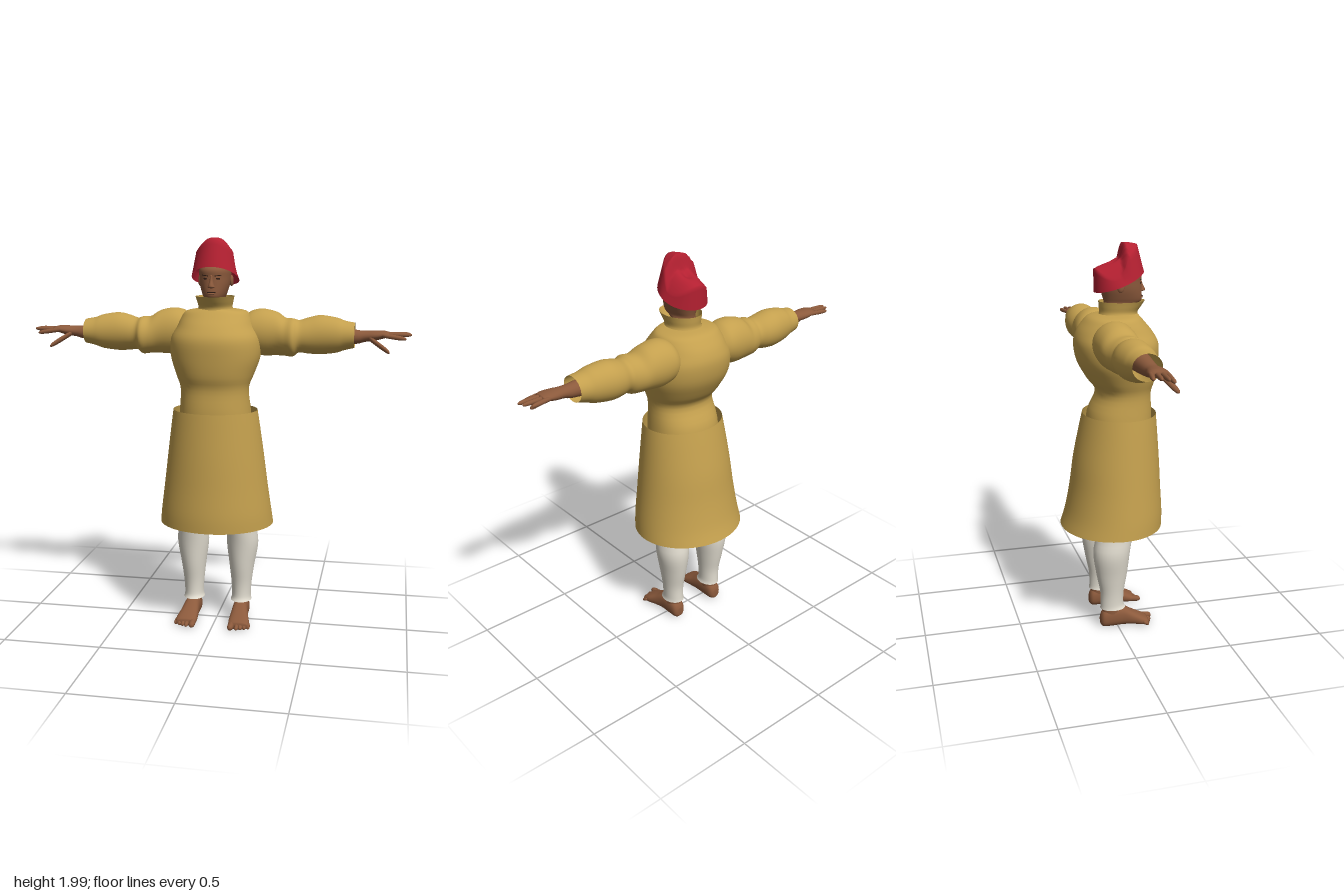
import * as THREE from 'three';

const mat = (name, color, double = false) => {
  const m = new THREE.MeshStandardMaterial({ color });
  m.name = name;
  if (double) m.side = THREE.DoubleSide;
  return m;
};

// Smooth surface through oval sections: rows of [t, uMin, uMax, vMin, vMax].
// axis y: u = x, v = z; axis x: u = y, v = z; axis z: u = x, v = y.
function loft(rows, axis = 'y', { n = 32, sub = 4, power = 2, caps = false } = {}) {
  const curves = [1, 2, 3, 4].map(k => new THREE.SplineCurve(rows.map(r => new THREE.Vector2(r[0], r[k]))));
  const steps = (rows.length - 1) * sub;
  const pos = [], idx = [];
  const put = (t, u, v) => pos.push(...(axis === 'y' ? [u, t, v] : axis === 'x' ? [t, u, v] : [u, v, t]));
  const tri = (a, b, c) => (axis === 'y' ? idx.push(a, c, b) : idx.push(a, b, c));
  const bend = s => Math.sign(s) * Math.pow(Math.abs(s), 2 / power);
  const mids = [];
  for (let i = 0; i <= steps; i++) {
    const p = curves.map(c => c.getPoint(i / steps));
    const [a, b, c, d] = p.map(q => q.y);
    mids.push([p[0].x, (a + b) / 2, (c + d) / 2]);
    for (let j = 0; j < n; j++) {
      const g = (j / n) * Math.PI * 2;
      put(p[0].x, (a + b) / 2 + bend(Math.cos(g)) * (b - a) / 2, (c + d) / 2 + bend(Math.sin(g)) * (d - c) / 2);
    }
  }
  for (let i = 0; i < steps; i++) for (let j = 0; j < n; j++) {
    const k = (j + 1) % n, a = i * n + j, b = i * n + k;
    tri(a, b, b + n);
    tri(a, b + n, a + n);
  }
  if (caps) {
    const e = (steps + 1) * n, last = steps * n;
    put(...mids[0]);
    put(...mids[steps]);
    for (let j = 0; j < n; j++) {
      const k = (j + 1) % n;
      tri(e, k, j);
      tri(e + 1, last + j, last + k);
    }
  }
  return build(pos, idx);
}

function build(pos, idx) {
  const g = new THREE.BufferGeometry();
  g.setAttribute('position', new THREE.Float32BufferAttribute(pos, 3));
  g.setIndex(idx);
  g.computeVertexNormals();
  return g;
}

// Mirror across x = 0, turning the faces so they still point outwards
function mirrored(geo) {
  const g = geo.clone().scale(-1, 1, 1), a = g.index.array;
  for (let i = 0; i < a.length; i += 3) [a[i + 1], a[i + 2]] = [a[i + 2], a[i + 1]];
  return g;
}

// Rounded digit running along an axis from p to q ([t, u, v])
function digit(p, q, r, axis) {
  const rows = [[0, 0.9], [0.5, 1], [0.85, 0.85], [0.97, 0.5], [1, 0.15]].map(([s, k]) => {
    const [t, u, v] = p.map((a, i) => a + (q[i] - a) * s);
    return [t, u - r * k, u + r * k, v - r * k, v + r * k];
  });
  return loft(rows, axis, { n: 10, sub: 2, caps: true });
}

// Tilted cap: short slanted wall, then a crown with a raised front peak
function hatGeometry() {
  const n = 48, wall = 6, top = 14, pos = [], idx = [];
  const crown = (x, z) => {
    const s = THREE.MathUtils.smoothstep(z, 0.042, 0.06);
    const back = 1.94 + 0.5 * (z - 0.055), front = 2 - 0.21 * (z - 0.06);
    const dent = 0.025 * Math.exp(-((x / 0.025) ** 2) - ((z - 0.015) / 0.04) ** 2);
    return back + (front - back) * s - 9 * x * x - dent;
  };
  for (let i = 0; i <= wall + top; i++) for (let j = 0; j < n; j++) {
    const g = (j / n) * Math.PI * 2, c = Math.cos(g), s = Math.sin(g);
    const rimZ = 0.04 + 0.125 * s, edgeX = 0.1 * c, edgeZ = 0.022 + 0.108 * s;
    if (i <= wall) {
      const t = i / wall, rimY = 1.795 + 0.4 * (rimZ - 0.04) + 0.01 * s * s;
      pos.push(0.118 * c + (edgeX - 0.118 * c) * t, rimY + (crown(edgeX, edgeZ) - rimY) * t, rimZ + (edgeZ - rimZ) * t);
    } else {
      const k = 1 - (i - wall) / top, x = edgeX * k, z = 0.022 + 0.108 * s * k;
      pos.push(x, crown(x, z), z);
    }
  }
  for (let i = 0; i < wall + top; i++) for (let j = 0; j < n; j++) {
    const k = (j + 1) % n, a = i * n + j, b = i * n + k;
    idx.push(a, b + n, b, a, a + n, b + n);
  }
  return build(pos, idx);
}

export function createModel() {
  const model = new THREE.Group();
  const cloth = mat('golden cloth', 0xc4a04e, true);
  const linen = mat('off-white linen', 0xe2ddd0, true);
  const skin = mat('brown skin', 0x8c5a3c);
  const red = mat('red felt', 0xb42031, true);
  const dark = mat('dark brown', 0x2e1c14);

  const add = (name, geo, material, parent = model) => {
    const m = new THREE.Mesh(geo, material);
    m.name = name;
    parent.add(m);
    return m;
  };
  const pair = (name, geo, material) => {
    add(name + 'Left', geo, material);
    add(name + 'Right', mirrored(geo), material);
  };
  const sym = rows => rows.map(([y, w, f, b]) => [y, -w, w, b, f]);

  // Tunic: body, collar and open skirt, rows of [y, half width, front, back]
  add('tunicBody', loft(sym([
    [1.0, 0.19, 0.2, -0.13], [1.14, 0.18, 0.205, -0.12], [1.25, 0.172, 0.2, -0.075], [1.32, 0.195, 0.22, -0.12],
    [1.41, 0.225, 0.232, -0.17], [1.5, 0.225, 0.235, -0.186], [1.56, 0.195, 0.205, -0.172],
    [1.605, 0.175, 0.168, -0.142], [1.635, 0.15, 0.142, -0.11], [1.648, 0.085, 0.13, -0.06],
  ]), 'y', { n: 48, power: 2.2 }), cloth);
  add('collar', loft(sym([
    [1.63, 0.1, 0.138, -0.07], [1.655, 0.085, 0.135, -0.058], [1.685, 0.09, 0.155, -0.06], [1.71, 0.096, 0.172, -0.062],
  ])), cloth);
  add('skirt', loft(sym([
    [0.54, 0.295, 0.263, -0.265], [0.62, 0.285, 0.264, -0.24], [0.75, 0.267, 0.256, -0.215],
    [0.9, 0.248, 0.248, -0.195], [1.05, 0.228, 0.237, -0.165], [1.14, 0.215, 0.23, -0.145],
  ]), 'y', { n: 56 }), cloth);

  // Sleeves with gathered shoulder and elbow
  pair('sleeve', loft([
    [0.14, 1.44, 1.61, -0.12, 0.06], [0.175, 1.425, 1.635, -0.138, 0.07], [0.23, 1.41, 1.645, -0.14, 0.072],
    [0.3, 1.412, 1.63, -0.132, 0.07], [0.345, 1.412, 1.602, -0.122, 0.078], [0.385, 1.41, 1.6, -0.108, 0.09],
    [0.415, 1.43, 1.592, -0.1, 0.068], [0.46, 1.425, 1.605, -0.115, 0.064], [0.52, 1.422, 1.617, -0.12, 0.062],
    [0.6, 1.432, 1.606, -0.105, 0.06], [0.64, 1.446, 1.592, -0.094, 0.057], [0.69, 1.458, 1.583, -0.085, 0.055],
  ], 'x', { n: 36 }), cloth);

  // Hands: wrist and palm, four fingers, thumb
  pair('hand', loft([
    [0.55, 1.47, 1.57, -0.06, 0.04], [0.69, 1.478, 1.55, -0.045, 0.03], [0.74, 1.49, 1.545, -0.04, 0.028],
    [0.79, 1.497, 1.547, -0.05, 0.036], [0.83, 1.508, 1.547, -0.055, 0.036], [0.86, 1.517, 1.54, -0.05, 0.03],
  ], 'x', { n: 20, caps: true }), skin);
  const tips = [[0.93, 1.525, -0.062], [0.96, 1.53, -0.034], [0.967, 1.528, -0.004], [0.94, 1.51, 0.028]];
  tips.forEach((tip, i) => pair('finger' + (i + 1), digit([0.82, 1.527, -0.043 + i * 0.023], tip, 0.0115, 'x'), skin));
  pair('thumb', digit([0.76, 1.512, 0.018], [0.863, 1.446, 0.072], 0.014, 'x'), skin);

  // Trouser legs and bare feet
  pair('trouserLeg', loft([
    [0.105, 0.072, 0.182, -0.09, 0.045], [0.13, 0.078, 0.178, -0.088, 0.034], [0.2, 0.075, 0.182, -0.09, 0.036],
    [0.3, 0.064, 0.196, -0.11, 0.052], [0.42, 0.05, 0.215, -0.126, 0.066], [0.54, 0.052, 0.204, -0.11, 0.085],
    [0.75, 0.03, 0.215, -0.115, 0.11], [1.02, 0.0, 0.185, -0.11, 0.14],
  ], 'y', { n: 28 }), linen);
  pair('ankle', loft([
    [0.04, 0.092, 0.168, -0.082, 0.03], [0.1, 0.09, 0.168, -0.078, 0.025], [0.2, 0.09, 0.168, -0.075, 0.02],
  ], 'y', { n: 20 }), skin);
  pair('foot', loft([
    [-0.09, 0.112, 0.148, 0.015, 0.06], [-0.075, 0.095, 0.165, 0.002, 0.09], [-0.03, 0.09, 0.17, 0, 0.11],
    [0.03, 0.089, 0.172, 0.002, 0.106], [0.08, 0.086, 0.182, 0.002, 0.078], [0.125, 0.084, 0.193, 0, 0.055],
    [0.16, 0.088, 0.19, 0.002, 0.036],
  ], 'z', { n: 24, power: 2.4, caps: true }), skin);
  for (let i = 0; i < 5; i++) {
    const r = i ? 0.0115 : 0.017, x = i ? 0.113 + i * 0.0185 : 0.102;
    pair('toe' + (i + 1), digit([0.13, x, 0.024], [0.195 - i * 0.009, x + i * 0.001, r], r, 'z'), skin);
  }

  // Head with neck, nose, ears, eyes, brows and mouth
  add('head', loft(sym([
    [1.6, 0.058, 0.08, -0.04], [1.68, 0.055, 0.1, -0.035], [1.703, 0.052, 0.148, -0.035], [1.725, 0.06, 0.157, -0.04],
    [1.765, 0.072, 0.155, -0.052], [1.805, 0.077, 0.153, -0.062], [1.84, 0.077, 0.153, -0.06],
    [1.865, 0.06, 0.125, -0.035], [1.88, 0.015, 0.06, 0.01],
  ]), 'y', { power: 2.15, caps: true }), skin);
  add('nose', loft(sym([
    [1.752, 0.008, 0.158, 0.13], [1.757, 0.018, 0.174, 0.13], [1.768, 0.014, 0.174, 0.13],
    [1.79, 0.009, 0.163, 0.13], [1.815, 0.008, 0.155, 0.13],
  ]), 'y', { n: 14, caps: true }), skin);
  add('mouth', new THREE.BoxGeometry(0.04, 0.004, 0.006).translate(0, 1.732, 0.156), dark);
  add('lowerLip', new THREE.SphereGeometry(1, 12, 8).scale(0.018, 0.006, 0.008).translate(0, 1.725, 0.156), skin);
  pair('ear', new THREE.SphereGeometry(1, 14, 10).scale(0.01, 0.028, 0.018).translate(0.079, 1.785, 0.03), skin);
  pair('eye', new THREE.SphereGeometry(1, 12, 8).scale(0.012, 0.0045, 0.004).rotateY(0.35).translate(0.031, 1.798, 0.144), dark);
  pair('brow', new THREE.BoxGeometry(0.034, 0.004, 0.005).rotateZ(0.1).rotateY(0.35).translate(0.032, 1.813, 0.144), dark);

  // Cap
  add('cap', hatGeometry(), red);
  return model;
}
